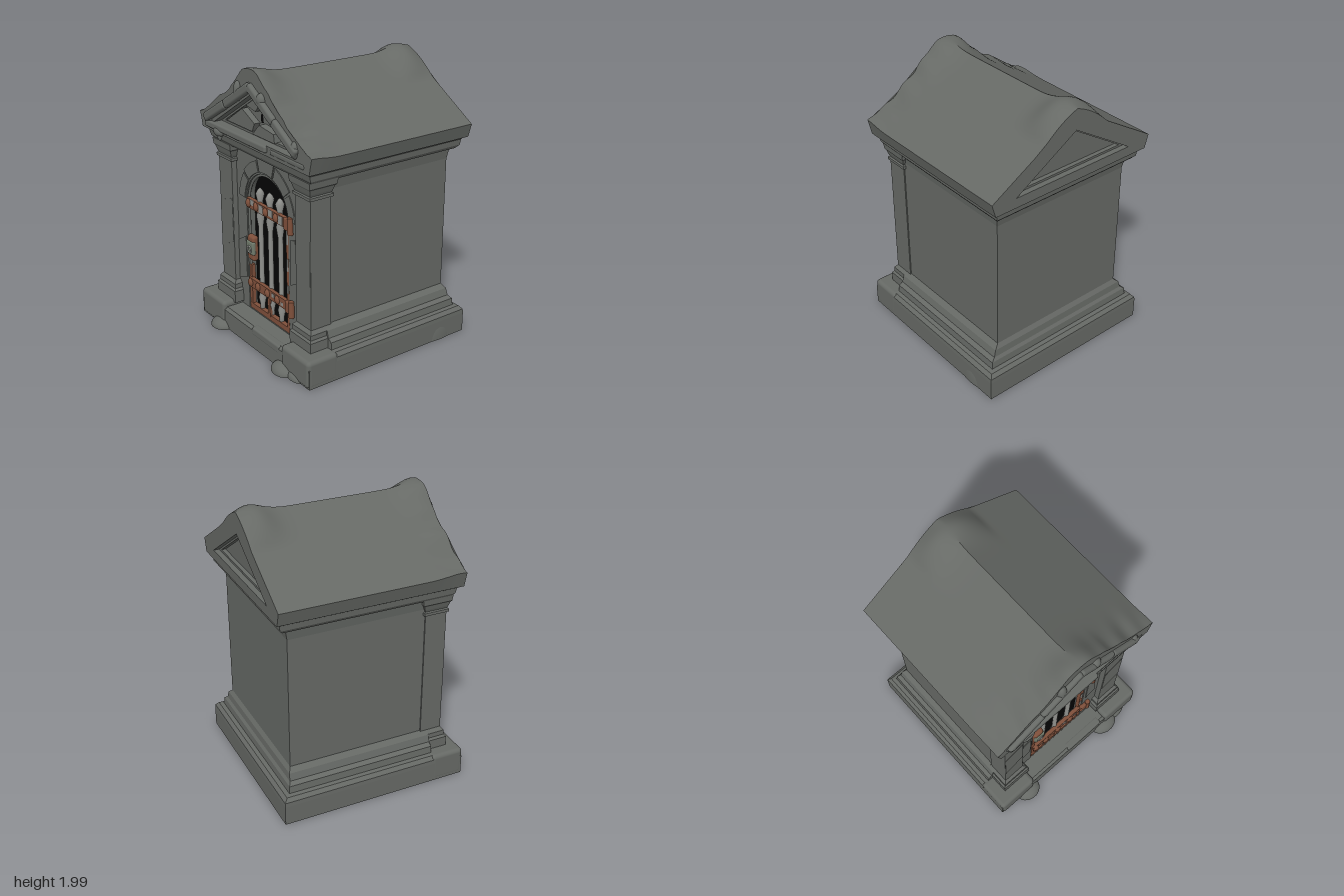
import * as THREE from 'three';
import { toCreasedNormals } from 'three/addons/utils/BufferGeometryUtils.js';
import { RoundedBoxGeometry } from 'three/addons/geometries/RoundedBoxGeometry.js';

const mat = (name, color) => {
  const m = new THREE.MeshStandardMaterial({ color });
  m.name = name;
  return m;
};

// Stack of rectangles [y, x0, x1, z0, z1] joined into a moulded block
function rectLoft(rings) {
  const pos = [];
  const corners = ([y, x0, x1, z0, z1]) => [[x0, y, z1], [x1, y, z1], [x1, y, z0], [x0, y, z0]];
  const quad = (a, b, c, d) => pos.push(...a, ...b, ...c, ...a, ...c, ...d);
  for (let i = 0; i < rings.length - 1; i++) {
    const a = corners(rings[i]), b = corners(rings[i + 1]);
    for (let k = 0; k < 4; k++) quad(a[k], a[(k + 1) % 4], b[(k + 1) % 4], b[k]);
  }
  quad(...corners(rings[rings.length - 1]));
  quad(...corners(rings[0]).reverse());
  const g = new THREE.BufferGeometry();
  g.setAttribute('position', new THREE.Float32BufferAttribute(pos, 3));
  g.computeVertexNormals();
  return g;
}

const vectors = (pts) => pts.map(([x, y]) => new THREE.Vector2(x, y));
const polygon = (pts) => new THREE.Shape(vectors(pts));
const slab = (shape, depth, steps = 1) =>
  new THREE.ExtrudeGeometry(shape, { depth, steps, bevelEnabled: false, curveSegments: 24 });

// Rounded swellings at both ends of the ridge and folds near the front edge
function weatherRoof(geometry) {
  const p = geometry.attributes.position;
  for (let i = 0; i < p.count; i++) {
    const x = p.getX(i), y = p.getY(i), z = p.getZ(i);
    if (y < 1.54 + 0.6 * (0.665 - Math.abs(x))) continue;
    const front = Math.exp(-(((z - 0.58) / 0.13) ** 2));
    const back = Math.exp(-(((z + 0.61) / 0.12) ** 2));
    const swelling = Math.max(0, 1.995 - 2.8 * x * x - y) * Math.max(front, back);
    const folds = front * Math.min(1, Math.abs(x) * 5) * (0.013 * Math.sin(19 * x + 2) + 0.009 * Math.sin(41 * x + 9 * z));
    p.setY(i, y + swelling + folds);
  }
  return toCreasedNormals(geometry, 0.6);
}

export function createModel() {
  const root = new THREE.Group();
  root.name = 'stoneMausoleum';
  const stone = mat('stone', 0x666965);
  const rust = mat('rustedIron', 0x7f503b);
  const iron = mat('paleIron', 0x8f908c);
  const dark = mat('darkInterior', 0x050505);
  const patina = mat('patina', 0x717b6c);

  const add = (name, geometry, material, x = 0, y = 0, z = 0) => {
    const m = new THREE.Mesh(geometry, material);
    m.name = name;
    m.position.set(x, y, z);
    root.add(m);
    return m;
  };
  const lump = (name, [x, y, z], [sx, sy, sz], material = stone) =>
    add(name, new THREE.SphereGeometry(1, 16, 10), material, x, y, z).scale.set(sx, sy, sz);
  const symmetric = (list) => list.map(([y, hx, zb, zf]) => [y, -hx, hx, zb, zf]);

  // Foundation, plinth mouldings, walls and the cornice under the roof
  add('foundation', rectLoft(symmetric([
    [0, 0.685, -0.72, 0.64], [0.14, 0.685, -0.72, 0.64], [0.16, 0.67, -0.705, 0.62]])), stone);
  add('walls', rectLoft(symmetric([
    [0.14, 0.685, -0.72], [0.17, 0.683, -0.718], [0.195, 0.66, -0.695], [0.2, 0.63, -0.665],
    [0.25, 0.625, -0.66], [0.27, 0.595, -0.645], [0.32, 0.58, -0.64], [0.35, 0.545, -0.62],
    [1.3, 0.545, -0.618], [1.39, 0.56, -0.635]].map((r) => [...r, 0.42]))), stone);
  add('cornice', rectLoft(symmetric([
    [1.375, 0.58, -0.66, 0.54], [1.4, 0.6, -0.685, 0.56], [1.44, 0.605, -0.69, 0.57],
    [1.465, 0.63, -0.705, 0.59]])), stone);

  // Worn corner blocks and pilasters, one on each side of the door
  const pilasterSteps = [[0.18, 0.04], [0.27, 0.04], [0.285, 0.025], [0.32, 0.025], [0.345, 0],
    [1.25, 0], [1.256, 0.014], [1.276, 0.014], [1.282, 0.002], [1.3, 0.01], [1.33, 0.02], [1.34, 0.03], [1.385, 0.036]];
  for (const s of [1, -1]) {
    add('cornerBlock', new RoundedBoxGeometry(0.32, 0.2, 0.25, 3, 0.03), stone, s * 0.526, 0.1, 0.525);
    add('pilaster', rectLoft(pilasterSteps.map(([y, o]) => {
      const a = s * (0.385 - o * 0.9), b = s * (0.553 + o * 0.9);
      return [y, Math.min(a, b), Math.max(a, b), 0.37 - o, 0.53 + o * 0.8];
    })), stone);
  }

  // Front wall with the arched doorway
  const cx = -0.01, spring = 0.995, r = 0.255;
  const wall = polygon([[-0.5, 0.15], [0.5, 0.15], [0.5, 1.38], [-0.5, 1.38]]);
  const opening = new THREE.Path();
  opening.moveTo(cx - r, 0.165);
  opening.lineTo(cx + r, 0.165);
  opening.lineTo(cx + r, spring);
  opening.absarc(cx, spring, r, 0, Math.PI, false);
  opening.lineTo(cx - r, 0.165);
  wall.holes.push(opening);
  add('frontWall', toCreasedNormals(slab(wall, 0.07), 0.5), stone, 0, 0, 0.42);
  add('doorwayDarkness', new THREE.PlaneGeometry(0.54, 1.12), dark, cx, 0.71, 0.424);

  // Arch stones standing slightly proud of the front wall
  for (let i = 0; i < 5; i++) {
    const a0 = Math.PI * (0.02 + i * 0.195), a1 = a0 + Math.PI * 0.18;
    const outer = [0.34, 0.36, 0.37, 0.35, 0.34][i];
    const stoneShape = new THREE.Shape();
    stoneShape.absarc(cx, spring, r + 0.012, a0, a1, false);
    stoneShape.absarc(cx, spring, outer, a1, a0, true);
    add('archStone', slab(stoneShape, 0.01), stone, 0, 0, 0.487);
  }

  // Chipped slabs on the pilasters and beside the door
  for (const [pts, z] of [
    [[[-0.55, 0.56], [-0.39, 0.65], [-0.39, 0.98], [-0.55, 0.92]], 0.523],
    [[[0.39, 0.6], [0.55, 0.66], [0.55, 0.98], [0.39, 0.9]], 0.523],
    [[[-0.38, 0.36], [-0.28, 0.4], [-0.28, 0.72], [-0.38, 0.66]], 0.486],
    [[[0.27, 0.55], [0.36, 0.6], [0.33, 0.9], [0.27, 0.88]], 0.486]]) {
    add('wornSlab', slab(polygon(pts), 0.01), stone, 0, 0, z);
  }

  // Gabled roof, hollow at both ends for the pediments
  const N = 28, outline = [[-0.64, 1.46], [0.64, 1.46]];
  for (let i = 0; i <= 2 * N; i++) {
    const x = 0.668 * (1 - i / N);
    outline.push([x, 1.556 + 0.6 * (0.668 - Math.abs(x))]);
  }
  const gable = polygon(outline);
  gable.holes.push(new THREE.Path(vectors([[-0.48, 1.53], [0, 1.825], [0.48, 1.53]])));
  add('roof', weatherRoof(slab(gable, 1.32, 44).translate(0, 0, -0.72)), stone);

  // Pediment panels with an inner stepped frame
  const pediment = [[-0.5, 1.52], [0.5, 1.52], [0, 1.835]];
  add('pedimentPanel', slab(polygon(pediment), 1.15), stone, 0, 0, -0.65);
  const frame = polygon(pediment);
  frame.holes.push(new THREE.Path(vectors([[-0.43, 1.545], [0, 1.81], [0.43, 1.545]])));
  for (const z of [-0.68, 0.5]) add('pedimentFrame', slab(frame, 0.04), stone, 0, 0, z);

  // Broken front pediment: dark gaps and loose stones
  for (const pts of [
    [[0.09, 1.67], [0.16, 1.615], [0.24, 1.63], [0.26, 1.655], [0.25, 1.69], [0.18, 1.71]],
    [[-0.03, 1.615], [0.0, 1.62], [-0.01, 1.68], [-0.035, 1.67]]]) {
    add('brokenGap', new THREE.ShapeGeometry(polygon(pts)), dark, 0, 0, 0.503);
  }
  for (const [pts, d] of [
    [[[-0.4, 1.55], [-0.08, 1.55], [-0.05, 1.61], [-0.2, 1.68]], 0.05],
    [[[-0.06, 1.54], [0.2, 1.54], [0.19, 1.6], [0.02, 1.62]], 0.06],
    [[[-0.17, 1.71], [-0.05, 1.69], [0.03, 1.78], [-0.02, 1.8]], 0.04],
    [[[0.0, 1.78], [0.03, 1.71], [0.15, 1.67], [0.2, 1.7], [0.06, 1.78]], 0.03]]) {
    add('looseStone', slab(polygon(pts), d), stone, 0, 0, 0.495);
  }

  // Split ledge below the pediment
  add('brokenLedge', new RoundedBoxGeometry(0.76, 0.05, 0.05, 2, 0.015), stone, -0.2, 1.505, 0.595);
  add('brokenLedgeEnd', new RoundedBoxGeometry(0.38, 0.04, 0.04, 2, 0.015), stone, 0.4, 1.5, 0.585);

  // Raking trim along the front gable, in worn lengths
  for (const [x0, y0, x1, y1] of [
    [-0.58, 1.54, -0.3, 1.7], [-0.31, 1.695, 0.01, 1.885],
    [-0.01, 1.885, 0.28, 1.71], [0.27, 1.715, 0.52, 1.565]]) {
    const len = Math.hypot(x1 - x0, y1 - y0);
    add('rakingTrim', new RoundedBoxGeometry(len, 0.065, 0.06, 2, 0.02), stone,
      (x0 + x1) / 2, (y0 + y1) / 2, 0.6).rotation.z = Math.atan2(y1 - y0, x1 - x0);
  }
  for (const [p, s] of [
    [[-0.42, 1.475, 0.6], [0.06, 0.035, 0.03]], [[-0.4, 1.445, 0.605], [0.018, 0.03, 0.016]],
    [[-0.55, 1.545, 0.59], [0.05, 0.04, 0.03]], [[-0.15, 1.82, 0.6], [0.035, 0.07, 0.032]],
    [[0.13, 1.82, 0.6], [0.04, 0.045, 0.035]], [[0.49, 1.585, 0.59], [0.035, 0.06, 0.04]]]) {
    lump('wornEdge', p, s);
  }

  // Rubble resting on the ground around the foundation
  for (const [x, z, sx, sy, sz] of [
    [-0.42, 0.63, 0.1, 0.06, 0.085], [0.38, 0.63, 0.11, 0.065, 0.085],
    [0.5, 0.63, 0.09, 0.05, 0.04], [0.655, -0.5, 0.037, 0.16, 0.13]]) {
    add('rubble', new THREE.SphereGeometry(1, 18, 8, 0, Math.PI * 2, 0, Math.PI / 2), stone, x, 0, z).scale.set(sx, sy, sz);
  }
  add('doorStep', new RoundedBoxGeometry(0.34, 0.06, 0.06, 2, 0.015), stone, 0.16, 0.132, 0.612);

  // Iron gate: spear bars with swollen collars
  const barProfile = [[0, 0.19], [0.018, 0.19], [0.018, 0.24], [0.028, 0.29], [0.018, 0.33], [0.018, 0.84], [0.029, 0.91],
    [0.022, 0.96], [0.02, 1.03], [0.032, 1.08], [0.016, 1.11], [0, 1.125]];
  for (const x of [-0.13, -0.01, 0.113]) add('gateBar', new THREE.LatheGeometry(vectors(barProfile), 12), iron, x, 0, 0.465);

  // Gate frame, rusted below and stone-grey around the arch
  const archPoints = [[cx + r - 0.01, 0.45]];
  for (let i = 0; i <= 16; i++) {
    const a = (Math.PI * i) / 16;
    archPoints.push([cx + (r - 0.01) * Math.cos(a), spring + (r - 0.01) * Math.sin(a)]);
  }
  archPoints.push([cx - r + 0.01, 0.45]);
  const archCurve = new THREE.CatmullRomCurve3(archPoints.map(([x, y]) => new THREE.Vector3(x, y, 0.475)), false, 'centripetal');
  add('archRim', new THREE.TubeGeometry(archCurve, 64, 0.01, 8), stone);
  add('gateBottomRail', new THREE.BoxGeometry(0.5, 0.04, 0.035), rust, cx, 0.187, 0.47);
  add('gateLeftStile', new THREE.BoxGeometry(0.03, 0.34, 0.03), rust, -0.243, 0.34, 0.472);
  add('gateRightStile', new THREE.BoxGeometry(0.028, 0.8, 0.03), rust, 0.226, 0.57, 0.472);
  add('gateMiddleStile', new THREE.BoxGeometry(0.03, 0.16, 0.03), rust, -0.01, 0.275, 0.477);

  // Hinged straps with rivets
  for (const y of [0.99, 0.38]) {
    add('hingeStrap', new THREE.BoxGeometry(0.53, 0.07, 0.03), rust, 0.015, y, 0.487);
    add('hingePlate', new RoundedBoxGeometry(0.07, 0.09, 0.03, 2, 0.01), rust, 0.255, y, 0.5);
    add('hingePin', new THREE.CylinderGeometry(0.02, 0.02, 0.12, 12), rust, 0.29, y, 0.505);
    for (const x of [-0.225, -0.13, -0.01, 0.113]) lump('rivet', [x, y, 0.502], [0.027, 0.032, 0.017], rust);
  }

  // Patches where the rust has worn off: [x, y, width, height, z]
  for (const [x, y, w, h, z] of [
    [-0.18, 1.005, 0.045, 0.04, 0.502], [-0.07, 0.99, 0.05, 0.06, 0.502], [0.05, 1.0, 0.05, 0.05, 0.502],
    [0.17, 0.99, 0.05, 0.06, 0.502], [0.06, 0.39, 0.035, 0.03, 0.502], [0.17, 0.37, 0.03, 0.025, 0.502],
    [0.226, 0.88, 0.022, 0.1, 0.487], [0.226, 0.68, 0.02, 0.09, 0.487], [0.226, 0.5, 0.02, 0.06, 0.487]]) {
    add('bareMetalPatch', new THREE.BoxGeometry(w, h, 0.004), iron, x, y, z);
  }

  // Lock with a weathered face
  add('lockBody', new RoundedBoxGeometry(0.085, 0.19, 0.05, 2, 0.02), rust, -0.208, 0.655, 0.485);
  add('lockFace', new RoundedBoxGeometry(0.088, 0.1, 0.03, 2, 0.012), patina, -0.205, 0.66, 0.503);
  add('lockRing', new THREE.TorusGeometry(0.022, 0.007, 8, 20), iron, -0.205, 0.65, 0.518);
  return root;
}
